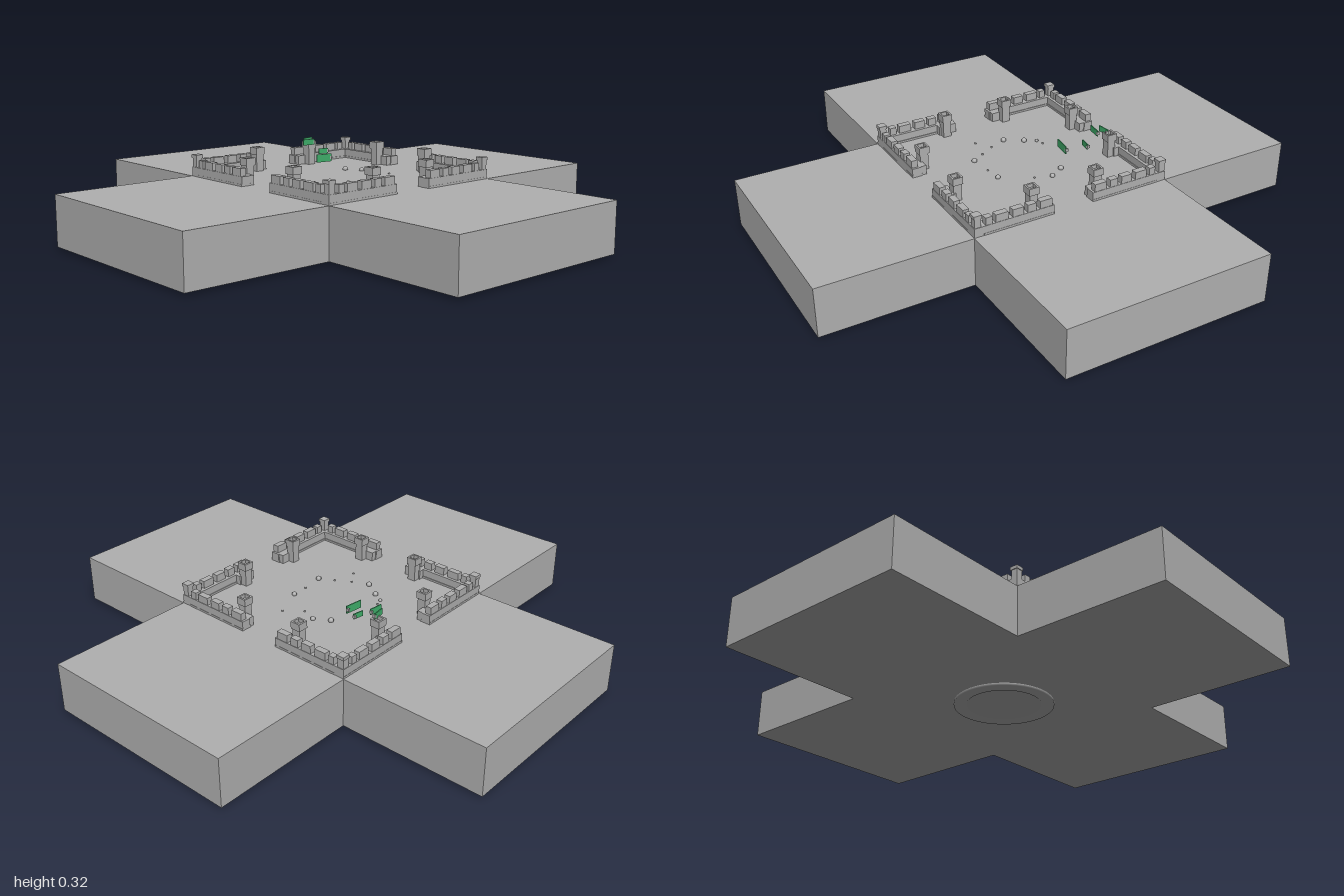
import * as THREE from 'three';

export function createModel() {
  const root = new THREE.Group();
  const stone = new THREE.MeshStandardMaterial({ color: 0xb0b0b0 });
  stone.name = 'grey stone';
  const green = new THREE.MeshStandardMaterial({ color: 0x3fae6a });
  green.name = 'green cloth';
  const FLOOR = 0.205;

  // box given by centre x/z, bottom, top and footprint
  function block(parent, name, x, z, y0, y1, w, d, mat = stone) {
    const m = new THREE.Mesh(new THREE.BoxGeometry(w, y1 - y0, d), mat);
    m.position.set(x, (y0 + y1) / 2, z);
    m.name = name;
    parent.add(m);
    return m;
  }

  // cross-shaped plateau
  block(root, 'courtyardBlock', 0, 0, 0.01, FLOOR, 0.82, 0.82);
  for (const s of [-1, 1]) {
    block(root, 'sideArm', s * 0.705, 0, 0.01, FLOOR, 0.59, 0.82);
    block(root, 'endArm', 0, s * 0.705, 0.01, FLOOR, 0.82, 0.59);
  }

  // shallow round foot with a recessed centre
  const foot = new THREE.Mesh(new THREE.LatheGeometry(
    [[0, 0.006], [0.14, 0.006], [0.147, 0], [0.195, 0], [0.195, 0.011]]
      .map(p => new THREE.Vector2(...p)), 40), stone);
  foot.name = 'roundFoot';
  root.add(foot);

  // tower: shaft, overhanging cap and a parapet around a sunken top
  function tower(parent, x, z) {
    const g = new THREE.Group();
    g.name = 'gateTower';
    g.position.set(x, 0, z);
    block(g, 'towerShaft', 0, 0, FLOOR, 0.275, 0.034, 0.034);
    block(g, 'towerCap', 0, 0, 0.273, 0.287, 0.042, 0.042);
    for (const s of [-1, 1]) {
      block(g, 'towerParapet', s * 0.0175, 0, 0.287, 0.302, 0.007, 0.042);
      block(g, 'towerParapet', 0, s * 0.0175, 0.287, 0.302, 0.028, 0.007);
    }
    parent.add(g);
  }

  // four L-shaped corner walls
  const merlons = [[0.35, 0.026], [0.298, 0.05], [0.232, 0.044], [0.176, 0.034], [0.117, 0.05]];
  for (const sx of [-1, 1]) for (const sz of [-1, 1]) {
    const corner = new THREE.Group();
    corner.name = 'cornerWall';
    // swap mirrors a part across the diagonal of the corner
    for (const swap of [false, true]) {
      const part = (name, a, b, y0, y1, w, d) => swap
        ? block(corner, name, sx * b, sz * a, y0, y1, d, w)
        : block(corner, name, sx * a, sz * b, y0, y1, w, d);
      const end = swap ? 0.371 : 0.409;
      part('wallBase', (end + 0.083) / 2, 0.39, FLOOR, 0.242, end - 0.083, 0.038);
      part('wallFooting', (end + 0.083) / 2, 0.389, FLOOR, 0.213, end - 0.083, 0.042);
      part('gateButtress', 0.124, 0.36, FLOOR, 0.242, 0.075, 0.022);
      for (const [a, w] of merlons) part('merlon', a, 0.395, 0.242, 0.272, w, 0.025);
      if (swap) tower(corner, sx * 0.34, sz * 0.138);
      else tower(corner, sx * 0.138, sz * 0.34);
    }
    block(corner, 'cornerTurret', sx * 0.394, sz * 0.394, 0.24, 0.28, 0.026, 0.026);
    block(corner, 'cornerCap', sx * 0.394, sz * 0.394, 0.278, 0.291, 0.032, 0.032);
    root.add(corner);
  }

  // boulders in a loose ring on the courtyard
  const stones = [[-0.13, -0.11, 0.011], [-0.175, -0.04, 0.011], [0.14, -0.115, 0.011],
    [0.175, -0.055, 0.01], [-0.08, 0.145, 0.011], [0.08, 0.13, 0.01], [-0.105, -0.155, 0.007],
    [-0.075, -0.165, 0.004], [0.15, 0.01, 0.004], [-0.15, 0.03, 0.004], [0.01, 0.135, 0.004],
    [-0.21, 0.07, 0.004], [0.205, 0.075, 0.004], [-0.115, 0.09, 0.004]];
  for (const [x, z, r] of stones) {
    const m = new THREE.Mesh(new THREE.SphereGeometry(r, 10, 7), stone);
    m.position.set(x, FLOOR + r * 0.4, z);
    m.name = 'boulder';
    root.add(m);
  }

  // floating green banners
  const banners = [[0.068, 0.256, -0.165, 0.072, 0.032, -0.12], [0.125, 0.272, -0.235, 0.045, 0.022, -0.15],
    [0.098, 0.305, -0.295, 0.055, 0.024, -0.1], [0.118, 0.308, -0.325, 0.05, 0.024, 0.12]];
  for (const [x, y, z, w, h, turn] of banners) {
    const m = block(root, 'banner', x, z, y - h / 2, y + h / 2, w, 0.004, green);
    m.rotation.y = turn;
    // small grey clasp at the banner's end
    block(root, 'bannerClasp', x + w * 0.45, z, y - 0.006, y + 0.006, 0.008, 0.012);
  }
  return root;
}
